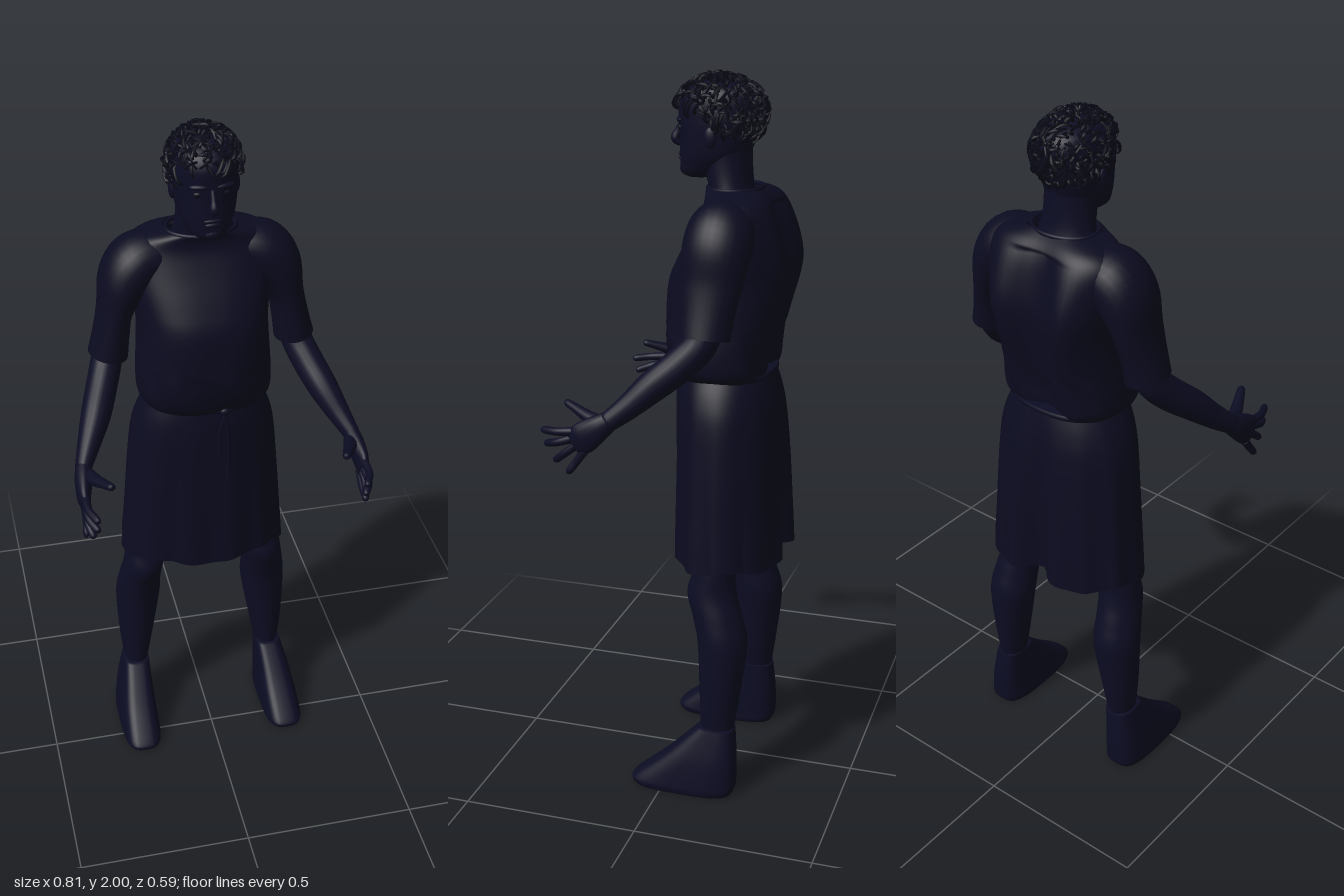
import * as THREE from 'three';

const mat = (name, color, side = THREE.FrontSide) => {
  const m = new THREE.MeshStandardMaterial({ color, side });
  m.name = name;
  return m;
};

// Smoothly resample rows of numbers (Catmull-Rom per column)
function smooth(rows, steps) {
  const out = [], last = rows.length - 1;
  for (let i = 0; i < last; i++) {
    const a = rows[Math.max(i - 1, 0)], b = rows[i], c = rows[i + 1], d = rows[Math.min(i + 2, last)];
    for (let k = 0; k < steps; k++) {
      const t = k / steps;
      out.push(b.map((_, j) => 0.5 * (2 * b[j] + (c[j] - a[j]) * t + (2 * a[j] - 5 * b[j] + 4 * c[j] - d[j]) * t * t
        + (3 * b[j] - a[j] - 3 * c[j] + d[j]) * t * t * t)));
    }
  }
  out.push(rows[last].slice());
  return out;
}

// Join rings of points into a skin, with optional end caps
function skin(rings, capped = true) {
  const n = rings[0].length, m = rings.length, pos = [], idx = [];
  rings.forEach(r => r.forEach(p => pos.push(p.x, p.y, p.z)));
  for (let i = 0; i < m - 1; i++) for (let j = 0; j < n; j++) {
    const a = i * n + j, b = i * n + (j + 1) % n;
    idx.push(a, b, a + n, b, b + n, a + n);
  }
  if (capped) for (const i of [0, m - 1]) {
    const c = rings[i].reduce((s, p) => s.add(p), new THREE.Vector3()).divideScalar(n);
    const k = pos.length / 3;
    pos.push(c.x, c.y, c.z);
    for (let j = 0; j < n; j++) {
      const a = i * n + j, b = i * n + (j + 1) % n;
      idx.push(...(i ? [a, b, k] : [b, a, k]));
    }
  }
  const g = new THREE.BufferGeometry();
  g.setAttribute('position', new THREE.Float32BufferAttribute(pos, 3));
  g.setIndex(idx);
  g.computeVertexNormals();
  return g;
}

// Level rings from rows of [y, front z, back z, half width, centre x]
function stack(rows, { power = 2, n = 40, steps = 5, warp, capped = true } = {}) {
  const sq = v => Math.sign(v) * Math.abs(v) ** (2 / power);
  return skin(smooth(rows, steps).map(([y, f, b, w, cx = 0]) => Array.from({ length: n }, (_, j) => {
    const a = j / n * Math.PI * 2;
    const p = new THREE.Vector3(cx + w * sq(Math.cos(a)), y, (f + b) / 2 - (f - b) / 2 * sq(Math.sin(a)));
    if (warp) warp(p, a);
    return p;
  })), capped);
}

// Rings square to a path, from rows of [x, y, z, radius across, radius along z/y]
function limb(rows, { n = 18, steps = 5, capped = true } = {}) {
  const pts = smooth(rows, steps), at = i => new THREE.Vector3(...pts[i].slice(0, 3));
  return skin(pts.map((r, i) => {
    const t = at(Math.min(i + 1, pts.length - 1)).sub(at(Math.max(i - 1, 0))).normalize();
    const u = new THREE.Vector3(1, 0, 0).addScaledVector(t, -t.x).normalize();
    const v = t.clone().cross(u);
    return Array.from({ length: n }, (_, j) => {
      const a = j / n * Math.PI * 2;
      return at(i).addScaledVector(u, r[3] * Math.cos(a)).addScaledVector(v, r[4] * Math.sin(a));
    });
  }), capped);
}

const bump = (v, width) => Math.exp(-((v / width) ** 2));

export function createModel() {
  const model = new THREE.Group();
  const navy = mat('navy', 0x0c0c23);
  const navyCloth = mat('navyCloth', 0x0b0b20, THREE.DoubleSide);
  const dark = mat('darkHair', 0x090918);
  const add = (name, geo, m = navy, parent = model) => {
    const mesh = new THREE.Mesh(geo, m);
    mesh.name = name;
    parent.add(mesh);
    return mesh;
  };
  const ball = (name, x, y, z, rx, ry, rz, m = navy) => {
    const b = add(name, new THREE.SphereGeometry(1, 16, 12), m);
    b.position.set(x, y, z);
    b.scale.set(rx, ry, rz);
    return b;
  };

  // Tunic top, bloused over the belt, with shoulder blades and a groove between them
  add('tunicTop', stack([
    [1.19, 0.01, -0.24, 0.16], [1.215, 0.027, -0.25, 0.183], [1.27, 0.042, -0.257, 0.188], [1.35, 0.047, -0.272, 0.182],
    [1.45, 0.04, -0.287, 0.178], [1.52, 0.01, -0.287, 0.188], [1.6, -0.035, -0.272, 0.2], [1.65, -0.06, -0.255, 0.195],
    [1.68, -0.065, -0.235, 0.165], [1.7, -0.058, -0.208, 0.1]], {
    power: 2.5, n: 72, capped: false, warp: (p, a) => {
      if (p.z < -0.14) {
        p.z += 0.03 * bump(p.x, 0.055) * (p.y < 1.66 ? 1 : 0.3);
        p.z -= 0.026 * bump(Math.abs(p.x) - 0.115, 0.055) * bump(p.y - 1.5, 0.13);
      }
      if (p.y > 1.2 && p.y < 1.33) p.z += 0.004 * Math.sin(a * 9 + p.y * 30);
    } }), navyCloth);
  const collar = add('collar', new THREE.TorusGeometry(0.094, 0.006, 8, 40));
  collar.rotation.x = Math.PI / 2;
  collar.scale.y = 0.78;
  collar.position.set(0, 1.699, -0.133);

  // Pleated skirt, open at the hem
  add('skirt', stack([
    [1.205, 0.008, -0.245, 0.16], [1.15, 0.015, -0.26, 0.188], [1.08, 0.017, -0.272, 0.208], [0.95, 0.018, -0.282, 0.222],
    [0.8, 0.02, -0.288, 0.234], [0.672, 0.02, -0.292, 0.245]].reverse(), {
    power: 2.1, n: 96, capped: false, warp: (p, a) => {
      const k = THREE.MathUtils.clamp((1.2 - p.y) / 0.5, 0, 1);
      p.z += 0.005 * k * Math.sin(a * 13);
      p.x += 0.004 * k * Math.sin(a * 11);
      if (p.z < -0.14) p.z += 0.035 * k * bump(p.x, 0.04) - 0.012 * k * bump(Math.abs(p.x) - 0.1, 0.05);
      if (p.y < 0.72) p.y += 0.007 * Math.sin(a * 5);
    } }), navyCloth);

  // Cord belt with a knot and two hanging ends
  add('belt', stack([[1.192, 0.014, -0.248, 0.164], [1.2, 0.019, -0.251, 0.168], [1.208, 0.014, -0.248, 0.164]], { power: 2.3 }));
  ball('beltKnot', 0.035, 1.198, 0.018, 0.014, 0.011, 0.008);
  for (const [x, y] of [[0.045, 0.97], [0.02, 1.06]])
    add('beltEnd', limb([[0.035, 1.195, 0.02, 0.004, 0.003], [x, 1.12, 0.018, 0.005, 0.003], [x, y, 0.018, 0.005, 0.003]], { n: 8 }));

  // Neck and head
  add('neck', stack([[1.62, -0.075, -0.2, 0.1], [1.67, -0.068, -0.19, 0.085], [1.71, -0.058, -0.18, 0.075],
    [1.76, -0.045, -0.176, 0.07], [1.82, -0.04, -0.175, 0.07]]));
  add('head', stack([
    [1.722, 0, -0.06, 0.025], [1.735, 0.018, -0.1, 0.05], [1.765, 0.019, -0.145, 0.068], [1.79, 0.02, -0.17, 0.077],
    [1.83, 0.02, -0.185, 0.083], [1.87, 0.022, -0.195, 0.087], [1.92, 0.022, -0.2, 0.086], [1.955, 0, -0.18, 0.073],
    [1.975, -0.04, -0.13, 0.04]], { power: 2.2, steps: 6 }));
  add('nose', limb([[0, 1.868, 0.018, 0.007, 0.006], [0, 1.84, 0.028, 0.009, 0.011], [0, 1.82, 0.036, 0.013, 0.013], [0, 1.806, 0.022, 0.008, 0.008]]));
  ball('upperLip', 0, 1.782, 0.018, 0.024, 0.006, 0.007);
  ball('lowerLip', 0, 1.77, 0.017, 0.021, 0.007, 0.007);
  ball('chin', 0, 1.742, 0.009, 0.024, 0.015, 0.013);
  for (const s of [-1, 1]) {
    ball('brow', s * 0.034, 1.875, 0.012, 0.026, 0.008, 0.01).rotation.y = s * 0.25;
    ball('eye', s * 0.034, 1.855, 0.009, 0.015, 0.008, 0.008, dark);
    ball('ear', s * 0.084, 1.835, -0.085, 0.01, 0.028, 0.018);
  }

  // Hair: a cap covered with short, loose curls
  const cap = add('hairCap', new THREE.SphereGeometry(1, 32, 16, 0, Math.PI * 2, 0, Math.PI * 0.55), navyCloth);
  cap.position.set(0, 1.885, -0.09);
  cap.scale.set(0.09, 0.096, 0.114);
  cap.rotation.x = -0.4;
  let seed = 7;
  const rnd = () => (seed = (seed * 16807) % 2147483647) / 2147483647;
  const curls = new THREE.Group();
  curls.name = 'curls';
  model.add(curls);
  for (let i = 0; i < 620; i++) {
    const h = 1 - 1.75 * (i + 0.5) / 620, a = i * 2.39996, r = Math.sqrt(1 - h * h);
    const d = new THREE.Vector3(r * Math.cos(a), h, r * Math.sin(a));
    // Hairline: high at the brow, low at the nape
    if (h < -0.48 + 0.93 * THREE.MathUtils.smoothstep(d.z, -0.3, 0.6)) continue;
    const shell = (v, k) => new THREE.Vector3(v.x * 0.092 * k, 1.891 + v.y * 0.095 * k, -0.09 + v.z * 0.117 * k);
    const side = new THREE.Vector3(rnd() - 0.5, rnd() - 0.8, rnd() - 0.5).multiplyScalar(0.6);
    const path = new THREE.CatmullRomCurve3([
      shell(d, 0.93), shell(d.clone().addScaledVector(side, 0.35).normalize(), 1.05 + 0.08 * rnd()),
      shell(d.clone().add(side).normalize(), 1.0 + 0.13 * rnd()),
      shell(d.clone().addScaledVector(side, 1.1).normalize(), 0.95)]);
    add('curl', new THREE.TubeGeometry(path, 7, 0.003 + 0.002 * rnd(), 5), dark, curls);
  }

  for (const s of [-1, 1]) {
    const side = s > 0 ? 'left' : 'right';
    const mirror = rows => rows.map(([x, ...rest]) => [s * x, ...rest]);

    // Sleeve, then bare forearm
    add(side + 'Sleeve', limb(mirror([
      [0.1, 1.625, -0.145, 0.06, 0.075], [0.165, 1.61, -0.143, 0.078, 0.09], [0.208, 1.56, -0.14, 0.072, 0.092],
      [0.236, 1.48, -0.135, 0.05, 0.082], [0.25, 1.41, -0.128, 0.05, 0.074], [0.262, 1.345, -0.124, 0.055, 0.07]]), { n: 28, capped: false }), navyCloth);
    add(side + 'Forearm', limb(mirror([
      [0.25, 1.4, -0.13, 0.04, 0.045], [0.266, 1.335, -0.118, 0.043, 0.045], [0.29, 1.28, -0.07, 0.043, 0.046],
      [0.32, 1.225, -0.005, 0.041, 0.043], [0.352, 1.17, 0.055, 0.031, 0.034], [0.377, 1.13, 0.105, 0.022, 0.027]])));

    // Hand with spread fingers
    add(side + 'Palm', limb(mirror([
      [0.373, 1.137, 0.095, 0.022, 0.026], [0.38, 1.113, 0.13, 0.024, 0.036], [0.386, 1.085, 0.168, 0.019, 0.043], [0.384, 1.068, 0.195, 0.012, 0.035]])));
    const fingers = [
      [1.1, 0.19, 1.09, 0.294, 0.366], [1.08, 0.198, 1.052, 0.285, 0.366],
      [1.063, 0.188, 1.01, 0.255, 0.374], [1.05, 0.165, 0.985, 0.212, 0.386]];
    for (const [y0, z0, y1, z1, x1] of fingers)
      add(side + 'Finger', limb(mirror([
        [0.384, y0, z0, 0.012, 0.012], [0.385, (y0 + y1) / 2, (z0 + z1) / 2, 0.011, 0.011],
        [x1 + 0.003, y1 + (y0 - y1) * 0.1, z1 - (z1 - z0) * 0.1, 0.01, 0.01], [x1, y1, z1, 0.005, 0.005]]), { n: 10 }));
    add(side + 'Thumb', limb(mirror([
      [0.368, 1.122, 0.12, 0.02, 0.022], [0.352, 1.133, 0.165, 0.018, 0.017],
      [0.332, 1.148, 0.21, 0.014, 0.012], [0.32, 1.156, 0.236, 0.011, 0.01], [0.317, 1.158, 0.243, 0.005, 0.005]]), { n: 12 }));

    // Leg and plain wedge-shaped boot
    const shift = rows => rows.map(r => [...r.slice(0, 4), s * r[4]]);
    add(side + 'Leg', stack(shift([
      [0.18, -0.105, -0.198, 0.034, 0.213], [0.3, -0.1, -0.215, 0.052, 0.208], [0.45, -0.092, -0.232, 0.067, 0.198],
      [0.53, -0.075, -0.215, 0.063, 0.192], [0.6, -0.056, -0.195, 0.06, 0.182], [0.68, -0.07, -0.19, 0.066, 0.168],
      [0.85, -0.04, -0.22, 0.08, 0.13], [1, -0.03, -0.23, 0.085, 0.1]])));
    add(side + 'Boot', stack(shift([
      [0, 0.085, -0.2, 0.056, 0.229], [0.012, 0.094, -0.207, 0.06, 0.229], [0.03, 0.085, -0.21, 0.059, 0.229],
      [0.1, 0.002, -0.21, 0.052, 0.225], [0.16, -0.06, -0.206, 0.044, 0.219], [0.2, -0.1, -0.202, 0.039, 0.214]]), { power: 3.2 }));
  }
  return model;
}
